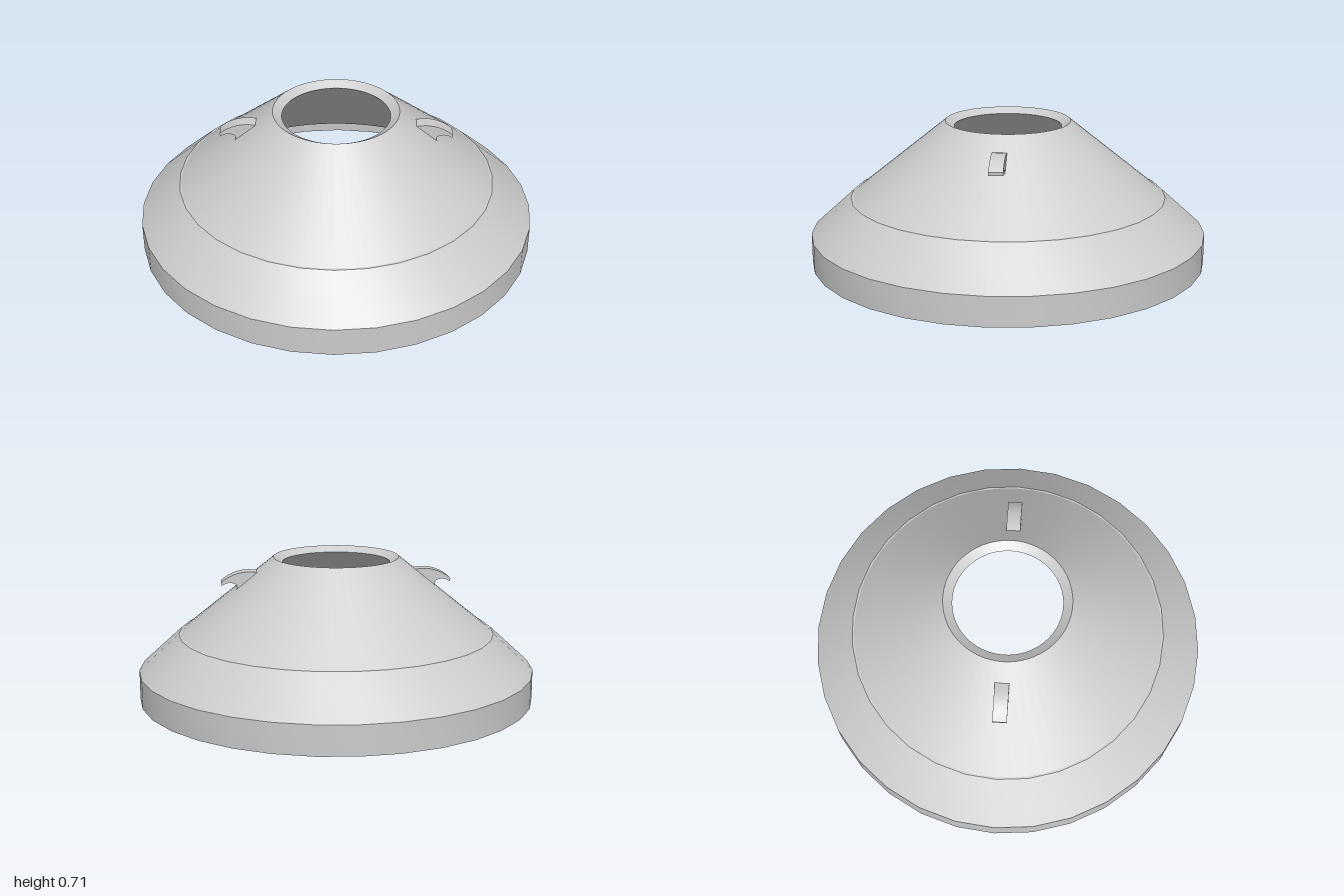
import * as THREE from 'three';
import { toCreasedNormals } from 'three/addons/utils/BufferGeometryUtils.js';

const material = new THREE.MeshStandardMaterial({ color: 0xcccccc });

function addMesh(group, name, geometry) {
  const mesh = new THREE.Mesh(toCreasedNormals(geometry, 0.4), material);
  mesh.name = name;
  group.add(mesh);
  return mesh;
}

function lathe(points, segments) {
  return new THREE.LatheGeometry(points.map(([r, y]) => new THREE.Vector2(r, y)), segments);
}

export function createModel() {
  const group = new THREE.Group();
  group.name = 'conicalCover';

  // Skirt: inner ledge, bottom lip, upright rim, lower slope and small step
  addMesh(group, 'skirt', lathe([
    [0.925, 0.075], [0.98, 0.075], [0.985, 0], [1, 0], [1, 0.147], [0.797, 0.332], [0.76, 0.336],
  ], 32));

  // Upper cone with chamfered mouth and the inner wall down to the ledge
  addMesh(group, 'cone', lathe([
    [0.787, 0.332], [0.315, 0.715], [0.27, 0.687], [0.935, 0.075],
  ], 64));

  // Hooks: curved claws rooted in the cone, pointing outward
  const shape = new THREE.Shape();
  shape.moveTo(0.395, 0.645);
  shape.quadraticCurveTo(0.5, 0.665, 0.58, 0.597);
  shape.lineTo(0.578, 0.58);
  shape.quadraticCurveTo(0.54, 0.605, 0.508, 0.588);
  shape.quadraticCurveTo(0.495, 0.577, 0.505, 0.558);
  shape.lineTo(0.47, 0.57);
  const width = 0.07;
  const hook = new THREE.ExtrudeGeometry(shape, { depth: width, bevelEnabled: false, curveSegments: 8 });
  hook.translate(0, 0, -width / 2);
  addMesh(group, 'leftHook', hook);
  addMesh(group, 'rightHook', hook).rotation.y = Math.PI;

  return group;
}
